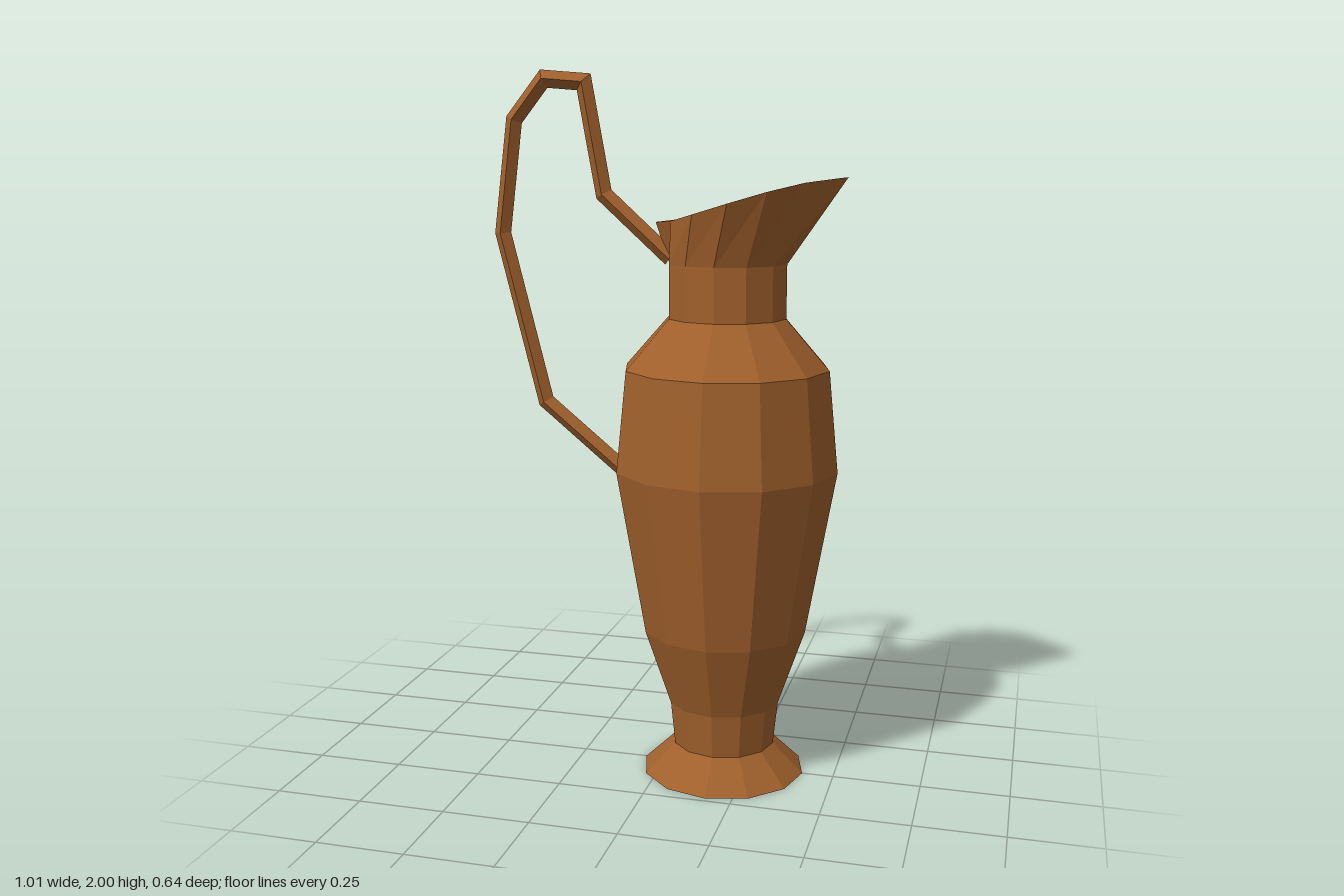
import * as THREE from 'three';

const SIDES = 12;
const AXIS_X = 0.175;

// Joins successive rings of points (each ring closed) into a faceted skin.
function skin(rings) {
  const n = rings[0].length;
  const index = [];
  for (let i = 0; i < rings.length - 1; i++) {
    for (let k = 0; k < n; k++) {
      const a = i * n + k, b = i * n + (k + 1) % n;
      index.push(a, a + n, b, b, a + n, b + n);
    }
  }
  const geometry = new THREE.BufferGeometry();
  geometry.setAttribute('position', new THREE.Float32BufferAttribute(rings.flat(2), 3));
  geometry.setIndex(index);
  geometry.computeVertexNormals();
  return geometry;
}

// Round ring about the jug's axis.
function circleRing([r, y]) {
  return Array.from({ length: SIDES }, (_, k) => {
    const a = (k / SIDES) * Math.PI * 2;
    return [AXIS_X + r * Math.cos(a), y, r * Math.sin(a)];
  });
}

// Full rim ring from its +z half, listed from the spout tip to the back.
function rimRing(half) {
  const mirrored = half.slice(1, -1).reverse().map(([x, y, z]) => [x, y, -z]);
  return [...half, ...mirrored];
}

// Diamond section swept along a path in the z = 0 plane, with mitred bends.
function diamondSweep(path, r) {
  const pts = path.map(([x, y]) => new THREE.Vector2(x, y));
  const normals = pts.slice(1).map((p, i) => {
    const t = p.clone().sub(pts[i]).normalize();
    return new THREE.Vector2(-t.y, t.x);
  });
  return skin(pts.map((p, i) => {
    const n1 = normals[Math.max(i - 1, 0)];
    const n2 = normals[Math.min(i, normals.length - 1)];
    const m = n1.clone().add(n2).multiplyScalar(r / (1 + n1.dot(n2)));
    return [
      [p.x + m.x, p.y + m.y, 0], [p.x, p.y, -r],
      [p.x - m.x, p.y - m.y, 0], [p.x, p.y, r],
    ];
  }));
}

export function createModel() {
  const group = new THREE.Group();
  const material = new THREE.MeshStandardMaterial({ color: 0xa0602c, flatShading: true });
  const add = (name, geometry) => {
    const mesh = new THREE.Mesh(geometry, material);
    mesh.name = name;
    group.add(mesh);
    return mesh;
  };

  // Outer and inner wall profiles: [radius, height]
  const outer = [
    [0.235, 0], [0.147, 0.085], [0.16, 0.21], [0.235, 0.43],
    [0.318, 0.9], [0.29, 1.185], [0.167, 1.325], [0.167, 1.475],
  ];
  const inner = [
    [0.15, 1.475], [0.15, 1.33], [0.27, 1.18], [0.3, 0.9],
    [0.217, 0.43], [0.143, 0.215], [0.13, 0.09],
  ];

  // Pouring lip, drawn out to a raised spout at +x
  const rimOuter = rimRing([
    [0.504, 1.71, 0], [0.405, 1.697, 0.105], [0.32, 1.675, 0.19], [0.22, 1.645, 0.217],
    [0.12, 1.615, 0.19], [0.035, 1.592, 0.085], [-0.03, 1.585, 0],
  ]);
  const rimInner = rimRing([
    [0.486, 1.708, 0], [0.395, 1.694, 0.093], [0.312, 1.672, 0.174], [0.217, 1.643, 0.199],
    [0.125, 1.613, 0.172], [0.047, 1.59, 0.077], [-0.012, 1.583, 0],
  ]);

  add('jugBody', skin([
    ...outer.map(circleRing), rimOuter, rimInner, ...inner.map(circleRing),
  ]));

  // Underside of the foot and the floor inside
  const base = add('footUnderside', new THREE.CircleGeometry(0.235, SIDES));
  base.rotation.x = Math.PI / 2;
  base.position.x = AXIS_X;
  const floor = add('innerFloor', new THREE.CircleGeometry(0.13, SIDES));
  floor.rotation.x = -Math.PI / 2;
  floor.position.set(AXIS_X, 0.09, 0);

  // Tall looped handle from the belly up and back down to the neck
  add('handle', diamondSweep([
    [-0.12, 0.87], [-0.36, 1.066], [-0.483, 1.549], [-0.443, 1.865],
    [-0.353, 1.976], [-0.236, 1.966], [-0.18, 1.66], [0.014, 1.485],
  ], 0.024));

  return group;
}
